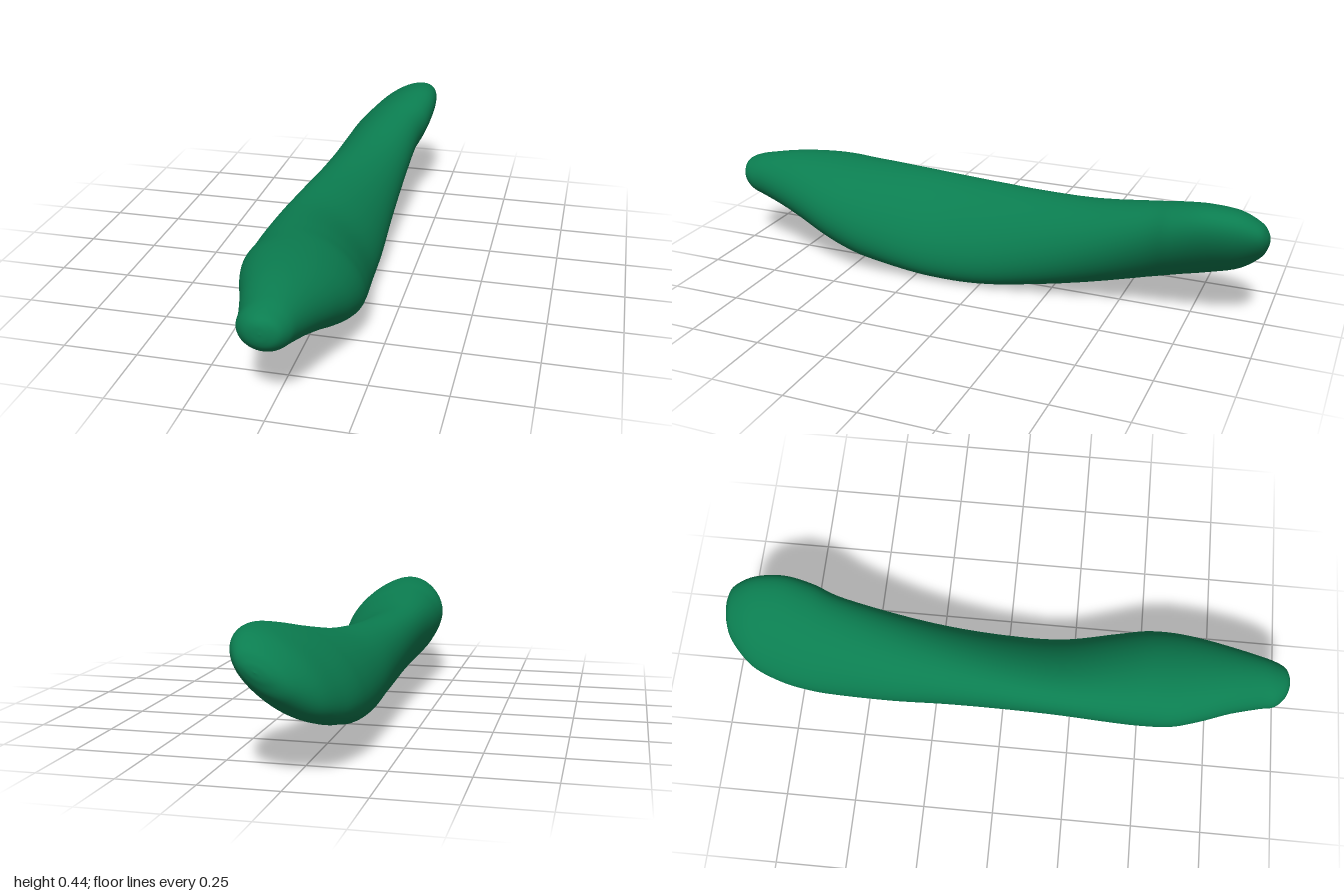
import * as THREE from 'three';

// Cross-sections along the body: z, xMin, xMax, yMin, yMax, skew.
// Positive skew leans the oval towards +x+y, negative towards -x+y.
const SECTIONS = [
  [-1.0, 0.07, 0.07, 0.335, 0.335, 0.6],
  [-0.994, 0.02, 0.11, 0.3, 0.365, 0.6],
  [-0.97, -0.035, 0.145, 0.25, 0.4, 0.6],
  [-0.9, -0.1, 0.177, 0.185, 0.435, 0.62],
  [-0.8, -0.137, 0.19, 0.145, 0.443, 0.62],
  [-0.7, -0.155, 0.18, 0.12, 0.425, 0.52],
  [-0.6, -0.16, 0.155, 0.095, 0.4, 0.4],
  [-0.4, -0.163, 0.14, 0.055, 0.36, 0.1],
  [-0.2, -0.163, 0.135, 0.025, 0.342, -0.2],
  [0.0, -0.17, 0.14, 0.004, 0.338, -0.42],
  [0.2, -0.18, 0.148, 0.008, 0.342, -0.5],
  [0.4, -0.19, 0.172, 0.035, 0.36, -0.35],
  [0.5, -0.192, 0.18, 0.056, 0.37, -0.25],
  [0.6, -0.19, 0.17, 0.09, 0.378, -0.2],
  [0.7, -0.165, 0.145, 0.13, 0.38, -0.15],
  [0.8, -0.13, 0.115, 0.165, 0.375, -0.1],
  [0.9, -0.102, 0.085, 0.19, 0.36, 0],
  [0.95, -0.092, 0.07, 0.205, 0.347, 0],
  [0.982, -0.065, 0.05, 0.232, 0.333, 0],
  [0.996, -0.035, 0.02, 0.258, 0.315, 0],
  [1.0, -0.005, -0.005, 0.288, 0.288, 0],
];

// Smooth closed skin through the skewed oval sections
function loft(sections, rings, sides) {
  const curve = (pick) =>
    new THREE.CatmullRomCurve3(sections.map((s) => new THREE.Vector3(...pick(s))), false, 'catmullrom', 0.5);
  const horizontal = curve(([z, x0, x1]) => [z, (x0 + x1) / 2, (x1 - x0) / 2]);
  const vertical = curve(([, , , y0, y1, skew]) => [skew, (y0 + y1) / 2, (y1 - y0) / 2]);

  const positions = [];
  const indices = [];
  for (let i = 0; i <= rings; i++) {
    const h = horizontal.getPoint(i / rings);
    const v = vertical.getPoint(i / rings);
    for (let j = 0; j < sides; j++) {
      const a = (j / sides) * Math.PI * 2;
      positions.push(h.y + h.z * Math.cos(a), v.y + v.z * Math.sin(a + v.x), h.x);
      if (i === rings) continue;
      const p = i * sides + j;
      const q = i * sides + ((j + 1) % sides);
      indices.push(p, q, p + sides, q, q + sides, p + sides);
    }
  }
  const geometry = new THREE.BufferGeometry();
  geometry.setAttribute('position', new THREE.Float32BufferAttribute(positions, 3));
  geometry.setIndex(indices);
  geometry.computeVertexNormals();
  return geometry;
}

export function createModel() {
  const group = new THREE.Group();
  group.name = 'cucumber';

  // Curved body with a blunt back end and a tapered front tip
  const skin = new THREE.MeshStandardMaterial({ color: 0x0b7d50 });
  const body = new THREE.Mesh(loft(SECTIONS, 120, 56), skin);
  body.name = 'body';
  group.add(body);

  return group;
}
